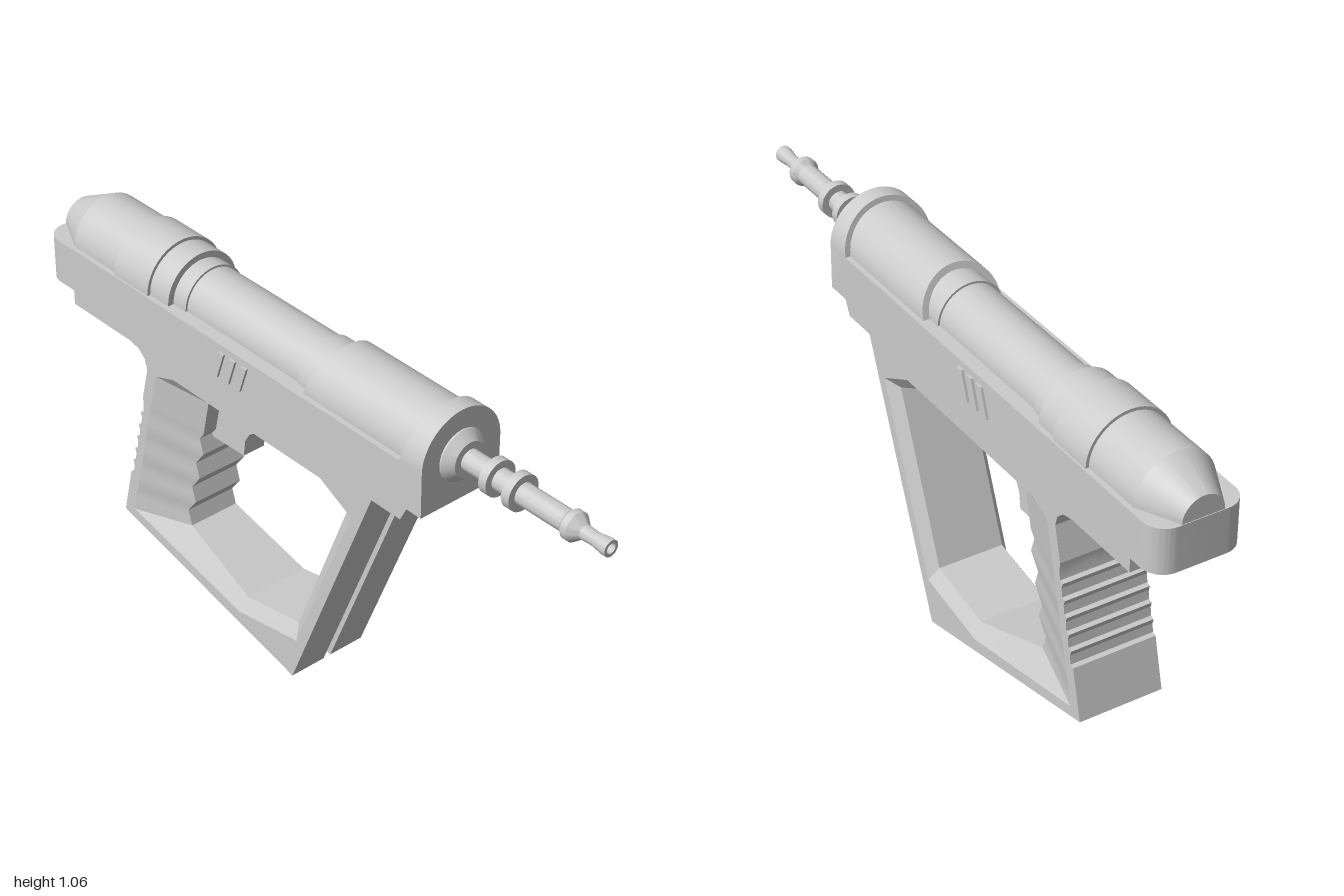
import * as THREE from 'three';
import { toCreasedNormals } from 'three/addons/utils/BufferGeometryUtils.js';

const AXIS = 0.93; // height of the barrel axis

export function createModel() {
  const model = new THREE.Group();
  const material = new THREE.MeshStandardMaterial({ color: 0xcccccc });

  const add = (name, geometry, crease = 0.6) => {
    const mesh = new THREE.Mesh(toCreasedNormals(geometry, crease), material);
    mesh.name = name;
    model.add(mesh);
    return mesh;
  };
  const toShape = (pts) => new THREE.Shape(pts.map(([a, b]) => new THREE.Vector2(a, b)));

  // Turned part along z: profile of [radius, z] from back to front
  const turned = (profile, segments = 40) =>
    new THREE.LatheGeometry(profile.map(([r, z]) => new THREE.Vector2(r, z)), segments)
      .rotateX(Math.PI / 2).translate(0, AXIS, 0);

  // Side profile in [z, y], extruded from x0 to x1
  const sidePlate = (shape, x0, x1) =>
    new THREE.ExtrudeGeometry(shape, { depth: x1 - x0, bevelEnabled: false })
      .rotateY(-Math.PI / 2).translate(x1, 0, 0);

  // Body slab with rounded rear corners (plan view, y of the shape = -z)
  const w = 0.13, r = 0.06;
  const plan = new THREE.Shape();
  plan.moveTo(-w, -0.46);
  plan.lineTo(w, -0.46);
  plan.lineTo(w, 1 - r);
  plan.absarc(w - r, 1 - r, r, 0, Math.PI / 2);
  plan.absarc(r - w, 1 - r, r, Math.PI / 2, Math.PI);
  plan.closePath();
  add('bodySlab', new THREE.ExtrudeGeometry(plan, { depth: 0.13, bevelEnabled: false, curveSegments: 8 })
    .rotateX(-Math.PI / 2).translate(0, 0.8, 0));

  // Arched front plate, its back leaning forward towards the top
  const arch = new THREE.Shape();
  arch.moveTo(-w, 0.8);
  arch.lineTo(w, 0.8);
  arch.lineTo(w, AXIS);
  arch.absarc(0, AXIS, w, 0, Math.PI);
  arch.closePath();
  const plate = new THREE.ExtrudeGeometry(arch, { depth: 0.08, bevelEnabled: false, curveSegments: 32 })
    .translate(0, 0, 0.42);
  const pp = plate.attributes.position;
  for (let i = 0; i < pp.count; i++) {
    if (pp.getZ(i) < 0.45) pp.setZ(i, 0.42 + 0.03 * Math.max(0, (pp.getY(i) - AXIS) / w));
  }
  add('frontPlate', plate);

  // Upper tube with its rear bands and tapered tail
  add('upperTube', turned([
    [0, -0.998], [0.06, -0.998], [0.115, -0.885], [0.115, -0.7], [0.124, -0.7], [0.124, -0.56],
    [0.115, -0.56], [0.115, -0.485], [0.097, -0.485], [0.097, -0.435], [0.091, -0.435],
    [0.091, 0.01], [0.097, 0.01], [0.097, 0.2],
  ]), 0.4);

  // Front sleeve with a slanted rear end
  const sleeve = turned([[0.09, 0.05], [0.115, 0.05], [0.115, 0.45]]);
  const sp = sleeve.attributes.position;
  for (let i = 0; i < sp.count; i++) {
    if (sp.getZ(i) < 0.1) sp.setZ(i, 0.05 + 0.04 * (sp.getY(i) - AXIS) / 0.115);
  }
  add('frontSleeve', sleeve);

  // Barrel with collar, two rings and a hollow muzzle
  add('barrel', turned([
    [0.073, 0.49], [0.073, 0.505], [0.05, 0.53], [0.03, 0.53], [0.03, 0.61], [0.05, 0.61], [0.05, 0.635],
    [0.03, 0.635], [0.03, 0.687], [0.05, 0.687], [0.05, 0.713], [0.03, 0.713], [0.03, 0.86], [0.04, 0.872],
    [0.04, 0.89], [0.02, 0.915], [0.018, 0.95], [0.023, 0.985], [0.023, 1], [0.014, 1], [0.014, 0.94], [0, 0.94],
  ], 28), 0.4);

  // Hand frame: outer loop with serrated back; hole edges shared with the lining
  const N = 20; // finger-groove samples on the grip
  const outer = [[0.24, 0.655], [0.123, 0.714], [-0.465, 0.714]];
  const inner = [[0.198, 0.64], [0.096, 0.693], [-0.36, 0.693]];
  const depth = [0.025, 0.025, 0.03];
  for (let i = 0; i <= N; i++) {
    const t = i / N;
    const wave = t > 0.2 ? 0.012 * Math.cos((t - 0.2) / 0.8 * Math.PI * 8) : 0;
    outer.push([-0.54 - 0.123 * t, 0.687 - 0.503 * t]);
    inner.push([-0.375 - 0.1 * t + wave, 0.665 - 0.45 * t]);
    depth.push(0.045);
  }
  outer.push([-0.21, 0.088], [0.027, 0.13]);
  inner.push([-0.2, 0.13], [0.01, 0.17]);
  depth.push(0.025, 0.025);

  const frameShape = (slot) => {
    const pts = [[0.44, 0.81], [0.44, 0.79], [0.42, 0.75], [0.315 - slot, 0.75], [0.01 - slot, slot * 0.2], [-0.705, 0.163]];
    const backZ = (y) => -0.705 + 0.128 * (y - 0.163) / 0.527;
    for (let i = 0; i < 6; i++) {
      const y = 0.31 + i * 0.045;
      pts.push([backZ(y), y], [backZ(y) + 0.012, y + 0.004], [backZ(y + 0.03) + 0.008, y + 0.03]);
    }
    pts.push([backZ(0.59), 0.59], [-0.577, 0.69], [-0.585, 0.72], [-0.61, 0.742], [-0.65, 0.75], [-0.89, 0.75], [-0.89, 0.81]);
    const shape = toShape(pts);
    shape.holes.push(toShape(outer));
    return shape;
  };
  const H = 0.123, S = 0.012; // half width of the frame and of its front slot
  add('frameRight', sidePlate(frameShape(0), -H, -S), 0.3);
  add('frameLeft', sidePlate(frameShape(0), S, H), 0.3);
  add('frameSlot', sidePlate(frameShape(0.015), -S, S), 0.3);

  // Bevelled lining of the hole, including the finger grooves
  const rings = [
    outer.map(([z, y]) => [H, y, z]),
    inner.map(([z, y], i) => [H - depth[i], y, z]),
    inner.map(([z, y], i) => [depth[i] - H, y, z]),
    outer.map(([z, y]) => [-H, y, z]),
  ];
  const verts = [];
  for (let k = 0; k < 3; k++) {
    for (let i = 0; i < outer.length; i++) {
      const j = (i + 1) % outer.length;
      const a = rings[k][i], b = rings[k + 1][i], c = rings[k + 1][j], d = rings[k][j];
      verts.push(...a, ...b, ...d, ...b, ...c, ...d);
    }
  }
  const lining = new THREE.BufferGeometry();
  lining.setAttribute('position', new THREE.Float32BufferAttribute(verts, 3));
  add('gripLining', lining, 0.3);

  // Trigger
  add('trigger', sidePlate(toShape([
    [-0.22, 0.675], [-0.225, 0.63], [-0.26, 0.605], [-0.278, 0.575], [-0.285, 0.525], [-0.42, 0.52], [-0.4, 0.67],
  ]), -0.035, 0.035), 0.3);

  // Three slanted raised bars on each side
  for (const side of [-1, 1]) {
    for (let i = 0; i < 3; i++) {
      const z = -0.17 - i * 0.045;
      const bar = toShape([[z - 0.025, 0.83], [z - 0.003, 0.83], [z + 0.025, 0.91], [z + 0.003, 0.91]]);
      const x = side * 0.13;
      add(side > 0 ? 'leftVentBar' : 'rightVentBar', sidePlate(bar, x - 0.007, x + 0.007));
    }
  }
  return model;
}
